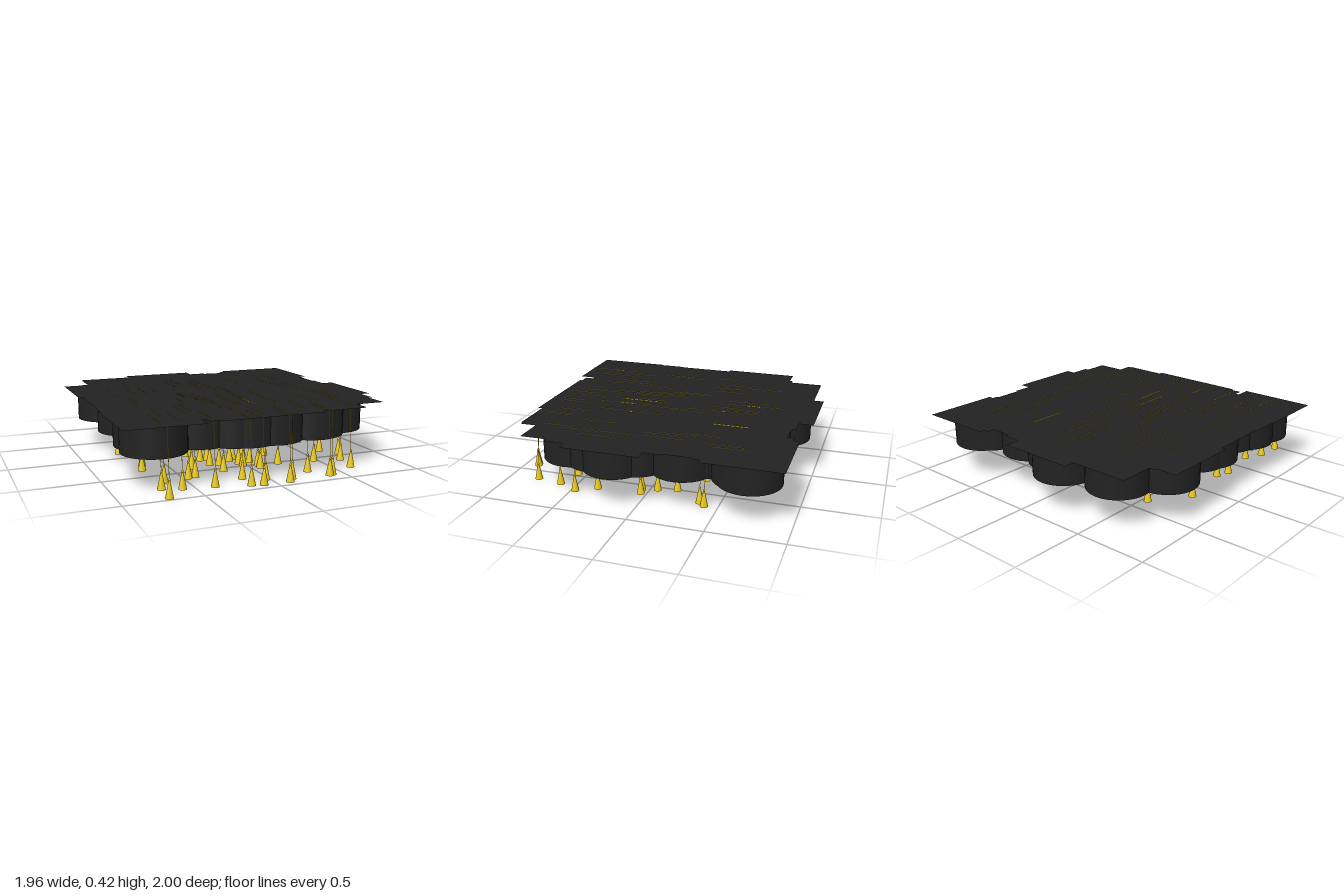
import * as THREE from 'three';

const BOARD_Y = 0.415, HALF = 0.26, RADIUS = 0.21, CAP_BOTTOM = 0.215;
const KNOT_Y = 0.112, TASSEL_Z = 0.29;

// Cap centres [x, z], grouped in rows from back to front
const ROWS = [
  [[-0.15, -0.74], [0.68, -0.70], [-0.54, -0.67], [0.64, -0.66], [-0.03, -0.64], [-0.21, -0.62], [0.02, -0.62], [-0.14, -0.60], [0.28, -0.60], [0.29, -0.61]],
  [[-0.06, -0.48], [0.51, -0.47], [-0.41, -0.45], [-0.58, -0.44], [-0.72, -0.42], [-0.49, -0.41], [0.03, -0.37], [0.54, -0.34], [0.09, -0.27], [0.57, -0.24], [0.625, -0.25]],
  [[-0.30, -0.18], [-0.28, -0.18], [-0.66, -0.04], [0.07, -0.04], [-0.25, -0.03], [-0.20, -0.03], [0.22, 0.00], [-0.03, 0.02], [0.64, 0.05], [-0.69, 0.06], [-0.07, 0.06]],
  [[-0.23, 0.10], [-0.17, 0.12], [-0.37, 0.13], [0.045, 0.14], [-0.04, 0.15], [0.72, 0.18], [-0.03, 0.20], [0.21, 0.24], [0.06, 0.24], [-0.20, 0.27], [0.47, 0.27], [0.055, 0.29]],
  [[0.65, 0.32], [-0.42, 0.33], [-0.47, 0.34], [-0.64, 0.37], [-0.16, 0.48], [0.30, 0.49], [0.62, 0.50], [-0.70, 0.50], [-0.58, 0.54], [-0.03, 0.55], [-0.38, 0.57]],
  [[0.13, 0.60], [0.415, 0.61], [0.39, 0.62], [-0.165, 0.63], [0.09, 0.65], [-0.09, 0.65], [-0.71, 0.68]],
];

// Thin straight cord between two points
function cordGeometry(a, b) {
  const dir = b.clone().sub(a);
  const geo = new THREE.CylinderGeometry(0.0018, 0.0018, dir.length(), 4);
  geo.applyQuaternion(new THREE.Quaternion().setFromUnitVectors(new THREE.Vector3(0, 1, 0), dir.normalize()));
  const mid = a.clone().add(b).multiplyScalar(0.5);
  return geo.translate(mid.x, mid.y, mid.z);
}

export function createModel() {
  const model = new THREE.Group();
  model.name = 'graduationCaps';
  const black = new THREE.MeshStandardMaterial({ color: 0x222222, side: THREE.DoubleSide });
  const gold = new THREE.MeshStandardMaterial({ color: 0xe8c814 });

  const centre = new THREE.Vector3(0, BOARD_Y, 0);
  const edge = new THREE.Vector3(0, BOARD_Y, HALF + 0.005);
  const knot = new THREE.Vector3(0, KNOT_Y, TASSEL_Z);
  const capHeight = BOARD_Y - CAP_BOTTOM;

  // Shared parts of one cap
  const parts = [
    ['board', new THREE.PlaneGeometry(HALF * 2, HALF * 2).rotateX(-Math.PI / 2).translate(0, BOARD_Y, 0), black],
    ['headBand', new THREE.CylinderGeometry(RADIUS, RADIUS, capHeight, 32, 1, true)
      .translate(0, CAP_BOTTOM + capHeight / 2, 0), black],
    ['cordOnBoard', cordGeometry(centre, edge), gold],
    ['hangingCord', cordGeometry(edge, knot), gold],
    ['tasselKnot', new THREE.SphereGeometry(0.008, 8, 6).translate(0, KNOT_Y, TASSEL_Z), gold],
    ['tassel', new THREE.CylinderGeometry(0.004, 0.027, KNOT_Y, 12).translate(0, KNOT_Y / 2, TASSEL_Z), gold],
  ];

  for (const [x, z] of ROWS.flat()) {
    const cap = new THREE.Group();
    cap.name = 'cap';
    for (const [name, geometry, material] of parts) {
      const mesh = new THREE.Mesh(geometry, material);
      mesh.name = name;
      cap.add(mesh);
    }
    cap.position.set(x, 0, z);
    model.add(cap);
  }
  return model;
}
